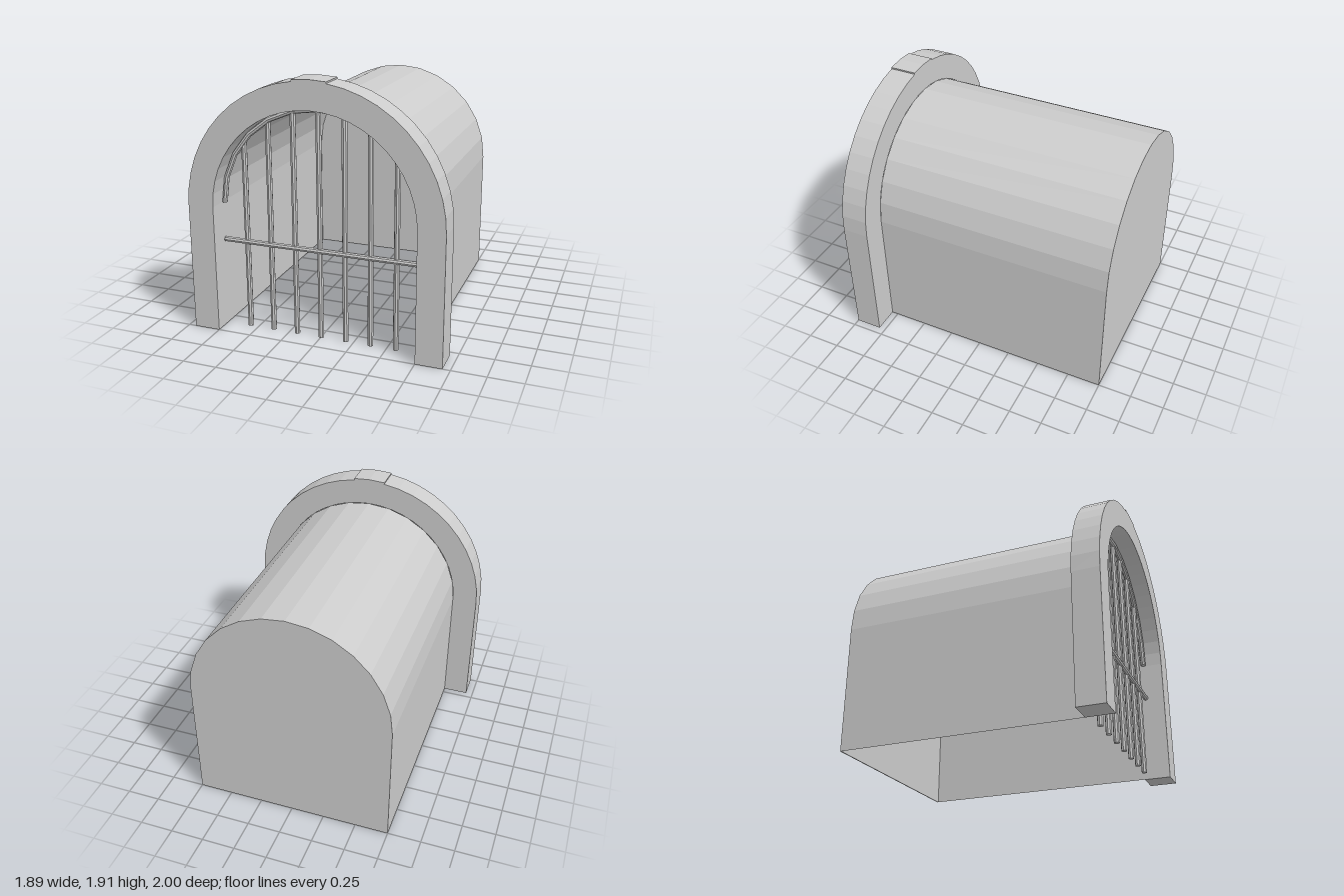
import * as THREE from 'three';

const SPRING = 0.95; // height where the arch begins

// Points along an arc centred on the spring line, angles in degrees
function arc(radius, from, to, steps) {
  const points = [];
  for (let i = 0; i <= steps; i++) {
    const a = THREE.MathUtils.degToRad(from + (to - from) * i / steps);
    points.push(new THREE.Vector2(radius * Math.cos(a), SPRING + radius * Math.sin(a)));
  }
  return points;
}

// Arch outline with straight legs down to the ground
function archOutline(radius, steps) {
  return [new THREE.Vector2(radius, 0), ...arc(radius, 0, 180, steps), new THREE.Vector2(-radius, 0)];
}

// Flat-faced sheet swept along z from an open outline
function sweptSheet(outline, zFront, zBack) {
  const positions = [];
  for (let i = 0; i < outline.length - 1; i++) {
    const p = outline[i], q = outline[i + 1];
    positions.push(
      p.x, p.y, zFront, p.x, p.y, zBack, q.x, q.y, zBack,
      p.x, p.y, zFront, q.x, q.y, zBack, q.x, q.y, zFront);
  }
  const geometry = new THREE.BufferGeometry();
  geometry.setAttribute('position', new THREE.Float32BufferAttribute(positions, 3));
  geometry.computeVertexNormals();
  return geometry;
}

export function createModel() {
  const model = new THREE.Group();
  model.name = 'barredTunnel';

  const stone = new THREE.MeshStandardMaterial({ color: 0xcccccc, side: THREE.DoubleSide, flatShading: true });
  stone.name = 'greyStone';

  function add(name, geometry, x = 0, y = 0, z = 0, parent = model) {
    const mesh = new THREE.Mesh(geometry, stone);
    mesh.name = name;
    mesh.position.set(x, y, z);
    parent.add(mesh);
    return mesh;
  }
  const extrude = (points, depth) =>
    new THREE.ExtrudeGeometry(new THREE.Shape(points), { depth, bevelEnabled: false });

  // Vaulted tunnel shell, open below and in front
  const tunnelOutline = archOutline(0.75, 14);
  add('tunnelVault', sweptSheet(tunnelOutline, 0.8, -1));
  add('backWall', extrude(tunnelOutline, 0.008), 0, 0, -1);

  // Entrance arch: two legs meeting a raised keystone
  const outer = 0.945, inner = 0.75;
  const leftHalf = [
    new THREE.Vector2(outer, 0), ...arc(outer, 0, 82.5, 11),
    ...arc(inner, 82.5, 0, 11), new THREE.Vector2(inner, 0),
  ];
  const rightHalf = leftHalf.map(p => new THREE.Vector2(-p.x, p.y)).reverse();
  add('entranceArchLeft', extrude(leftHalf, 0.2), 0, 0, 0.8);
  add('entranceArchRight', extrude(rightHalf, 0.2), 0, 0, 0.8);
  add('keystone', extrude([...arc(0.957, 82.5, 97.5, 2), ...arc(inner, 97.5, 82.5, 2)], 0.2), 0, 0, 0.8);

  // Grille of upright bars, a cross bar and an arched bar
  const grille = new THREE.Group();
  grille.name = 'grille';
  model.add(grille);
  const barRadius = 0.021, archRadius = 0.732;
  for (let i = -3; i <= 3; i++) {
    const x = i * 0.1885;
    const height = SPRING + Math.sqrt(archRadius ** 2 - x * x) - 0.01;
    add('uprightBar', new THREE.CylinderGeometry(barRadius, barRadius, height, 8), x, height / 2, 0.845, grille);
  }
  const crossBar = add('crossBar', new THREE.CylinderGeometry(0.02, 0.02, 1.48, 8), 0, 0.667, 0.855, grille);
  crossBar.rotation.z = Math.PI / 2;
  add('archedBar', new THREE.TorusGeometry(archRadius, 0.02, 8, 12, Math.PI), 0, SPRING, 0.855, grille);
  for (const side of [-1, 1]) {
    const cap = add('archedBarEnd', new THREE.CircleGeometry(0.02, 8), side * archRadius, SPRING, 0.855, grille);
    cap.rotation.x = Math.PI / 2;
  }

  return model;
}
